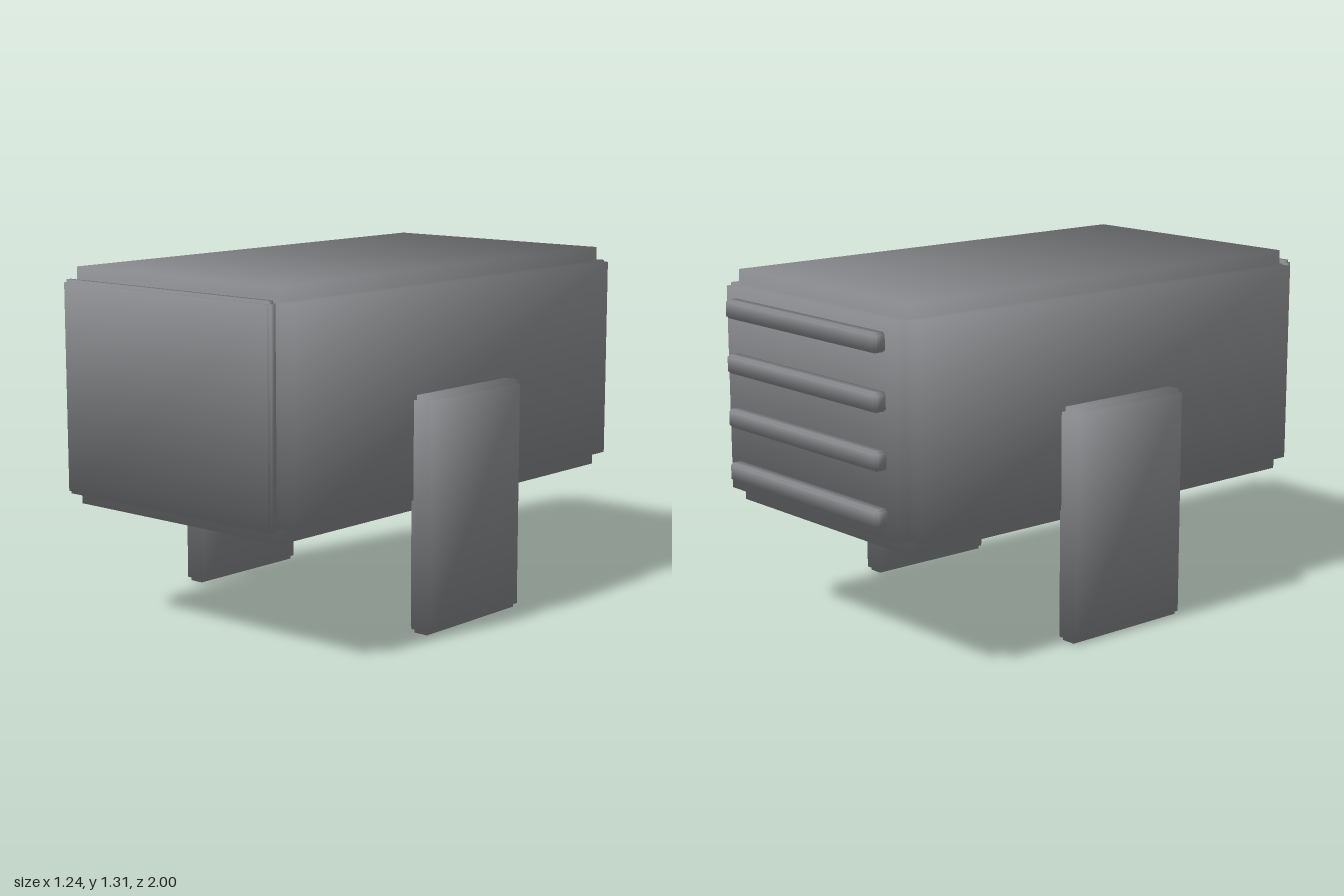
import * as THREE from 'three';
import { mergeGeometries } from 'three/addons/utils/BufferGeometryUtils.js';

const material = new THREE.MeshStandardMaterial({ color: 0x8c8e91 });

// Block with a square step cut along every edge and soft, corner-averaged normals.
// Three crossing boxes, each full size on one axis and inset on the other two in turn.
function steppedBlock(name, min, max, step) {
  const size = max.map((v, i) => v - min[i]);
  const parts = [0, 1, 2].map((axis) => {
    const s = size.map((v, i) => (i === axis ? v : v - 2 * step));
    const geometry = new THREE.BoxGeometry(...s);
    const { position, normal } = geometry.attributes;
    const k = 1 / Math.sqrt(3);
    for (let i = 0; i < position.count; i++) {
      normal.setXYZ(
        i,
        k * Math.sign(position.getX(i)),
        k * Math.sign(position.getY(i)),
        k * Math.sign(position.getZ(i))
      );
    }
    return geometry;
  });
  const mesh = new THREE.Mesh(mergeGeometries(parts), material);
  mesh.position.set(...min.map((v, i) => (v + max[i]) / 2));
  mesh.name = name;
  return mesh;
}

export function createModel() {
  const model = new THREE.Group();
  model.name = 'model';

  // Main housing
  model.add(steppedBlock('housing', [-0.55, 0.438, -0.955], [0.55, 1.309, 0.995], 0.055));

  // Thin panel on the front
  model.add(steppedBlock('frontPanel', [-0.508, 0.483, 0.957], [0.508, 1.267, 1], 0.011));

  // Horizontal slats across the back
  for (let i = 0; i < 4; i++) {
    const y = 0.571 + i * 0.203;
    model.add(steppedBlock('backSlat' + (i + 1), [-0.443, y - 0.034, -1], [0.443, y + 0.034, -0.945], 0.007));
  }

  // Flat side legs
  model.add(steppedBlock('leftLeg', [0.527, 0, -0.253], [0.619, 0.872, 0.3], 0.017));
  model.add(steppedBlock('rightLeg', [-0.619, 0, -0.253], [-0.527, 0.872, 0.3], 0.017));

  return model;
}
